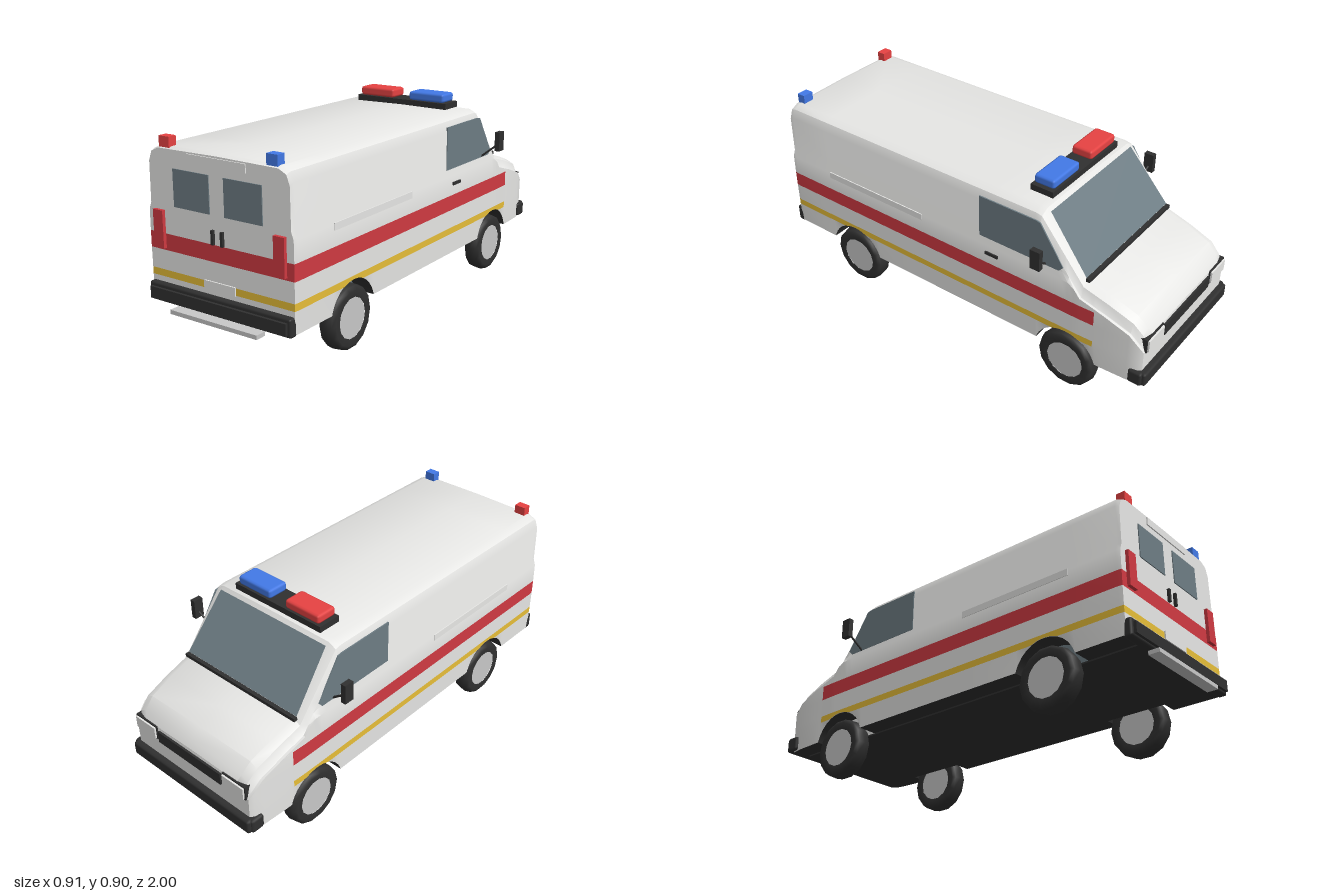
import * as THREE from 'three';
import { toCreasedNormals } from 'three/addons/utils/BufferGeometryUtils.js';
import { RoundedBoxGeometry } from 'three/addons/geometries/RoundedBoxGeometry.js';

const mat = (name, color, side = THREE.FrontSide) => {
  const m = new THREE.MeshStandardMaterial({ color, side });
  m.name = name;
  return m;
};
const M = {
  white: mat('white paint', 0xeeeeec),
  red: mat('red stripe', 0xd03a42),
  yellow: mat('yellow stripe', 0xecc23a),
  glass: mat('tinted glass', 0x6e7d84, THREE.DoubleSide),
  black: mat('black trim', 0x303030),
  beaconRed: mat('red beacon', 0xe84343),
  beaconBlue: mat('blue beacon', 0x437ae8),
  silver: mat('silver', 0xc8c8c8),
};

const REAR_AXLE = 0.57, FRONT_AXLE = -0.62, ARCH_R = 0.15, ARCH_Y = 0.16;

// Half cross-section, bottom to top: [x, y, least distance below the roof line]
const SECTION = [
  [0.366, 0.2, 0.06], [0.369, 0.295, 0.06], [0.369, 0.325, 0.06], [0.37, 0.41, 0.06], [0.37, 0.48, 0.06],
  [0.369, 0.57, 0.06], [0.358, 0.6, 0.06], [0.356, 0.78, 0.058], [0.341, 0.82, 0.018], [0.305, 0.838, 0],
];
// Roof, windscreen and bonnet line: [z, top, width factor]
const LINE = [
  [-0.972, 0.425, 0.92], [-0.955, 0.455, 0.955], [-0.91, 0.5, 0.975], [-0.8, 0.54, 0.99], [-0.68, 0.575, 1],
  [-0.47, 0.832, 1], [-0.44, 0.838, 1], [0.925, 0.836, 1], [0.945, 0.828, 0.995],
];

function lineAt(z) {
  const i = Math.max(1, LINE.findIndex((p) => p[0] >= z));
  const a = LINE[i - 1], b = LINE[i], t = (z - a[0]) / (b[0] - a[0]);
  return [a[1] + (b[1] - a[1]) * t, a[2] + (b[2] - a[2]) * t];
}

function sillAt(z) {
  let y = 0.2;
  for (const c of [REAR_AXLE, FRONT_AXLE]) {
    const d = ARCH_R ** 2 - (z - c) ** 2;
    if (d > 0) y = Math.max(y, ARCH_Y + Math.sqrt(d));
  }
  return y;
}

function ring(z) {
  const [top, w] = lineAt(z), sill = sillAt(z);
  const right = SECTION.map(([x, y, drop]) => [x * w, Math.max(sill, Math.min(y, top - drop)), z]);
  const left = right.map(([x, y]) => [-x, y, z]).reverse();
  return [...right, [0, top + 0.004, z], ...left];
}

// Lofted shell; each band of the section goes to the mesh of its colour
function buildBody(group) {
  const zs = LINE.map((p) => p[0]).concat(-0.75, -0.2, 0.2);
  for (const c of [REAR_AXLE, FRONT_AXLE])
    for (let i = 0; i <= 14; i++) zs.push(c - 0.1446 * Math.cos((i * Math.PI) / 14));
  zs.sort((a, b) => a - b);
  const rings = zs.map(ring), n = SECTION.length, count = rings[0].length;
  const parts = { white: [], red: [], yellow: [], black: [] };
  const quad = (key, a, b, c, d) => parts[key].push(...a, ...b, ...c, ...a, ...c, ...d);
  const bandKey = (i, z) => (z < -0.751 ? 'white' : i === 1 ? 'yellow' : i === 3 ? 'red' : 'white');

  for (let j = 0; j < rings.length - 1; j++) {
    const p = rings[j], q = rings[j + 1];
    for (let k = 0; k < count - 1; k++)
      quad(bandKey(k < n ? k : count - 2 - k, zs[j]), p[k], p[k + 1], q[k + 1], q[k]);
    quad('black', p[count - 1], p[0], q[0], q[count - 1]);
  }
  const nose = rings[0], tail = rings[rings.length - 1];
  for (let i = 0; i < n; i++) {
    const l = count - 1 - i;
    quad(bandKey(i, 1), tail[i], tail[i + 1], tail[l - 1], tail[l]);
    quad('white', nose[i], nose[l], nose[l - 1], nose[i + 1]);
  }
  const names = { white: 'bodyShell', red: 'redStripe', yellow: 'yellowStripe', black: 'underside' };
  for (const key in parts) {
    const g = new THREE.BufferGeometry();
    g.setAttribute('position', new THREE.Float32BufferAttribute(parts[key], 3));
    const mesh = new THREE.Mesh(toCreasedNormals(g, 0.5), M[key]);
    mesh.name = names[key];
    group.add(mesh);
  }
}

export function createModel() {
  const model = new THREE.Group();
  model.name = 'ambulanceVan';
  const add = (name, geo, material, x = 0, y = 0, z = 0) => {
    const m = new THREE.Mesh(geo, material);
    m.name = name;
    m.position.set(x, y, z);
    model.add(m);
    return m;
  };
  // Box given by its lower and upper limits on each axis
  const box = (name, material, x0, x1, y0, y1, z0, z1, bevel = 0) => {
    const s = [x1 - x0, y1 - y0, z1 - z0];
    const g = bevel ? new RoundedBoxGeometry(...s, 1, bevel) : new THREE.BoxGeometry(...s);
    return add(name, g, material, (x0 + x1) / 2, (y0 + y1) / 2, (z0 + z1) / 2);
  };
  // Same box on both sides
  const pair = (name, material, x0, x1, ...rest) => {
    box(name + 'Left', material, x0, x1, ...rest);
    box(name + 'Right', material, -x1, -x0, ...rest);
  };

  buildBody(model);

  // Inner wheel wells and floor
  box('rearWheelWell', M.glass, -0.27, 0.27, 0.2, 0.33, 0.42, 0.72);
  box('frontWheelWell', M.white, -0.27, 0.27, 0.2, 0.33, -0.77, -0.47);
  box('floorPan', M.black, -0.275, 0.275, 0.193, 0.2, -0.93, 0.94);

  // Wheels
  const tyre = new THREE.LatheGeometry(
    [[0.088, -0.036], [0.118, -0.04], [0.134, -0.03], [0.14, 0], [0.134, 0.03], [0.118, 0.04], [0.088, 0.036]]
      .map(([r, y]) => new THREE.Vector2(r, y)), 14).rotateZ(Math.PI / 2);
  const hub = new THREE.CylinderGeometry(0.09, 0.09, 0.066, 24).rotateZ(Math.PI / 2);
  for (const z of [REAR_AXLE, FRONT_AXLE]) {
    for (const s of [1, -1]) {
      add('tyre', tyre, M.black, s * 0.325, 0.142, z);
      add('hub', hub, M.silver, s * 0.325, 0.142, z);
    }
  }

  // Windscreen with the wiper cowl at its foot
  const screen = new THREE.BufferGeometry();
  screen.setAttribute('position', new THREE.Float32BufferAttribute(
    [-0.305, 0.823, -0.488, 0.305, 0.823, -0.488, 0.322, 0.592, -0.679, -0.322, 0.592, -0.679], 3));
  screen.setIndex([0, 1, 2, 0, 2, 3]);
  screen.computeVertexNormals();
  add('windscreen', screen, M.glass);
  box('wiperCowl', M.black, -0.325, 0.325, 0.575, 0.59, -0.696, -0.678);

  // Cab side windows
  const pane = new THREE.Shape(
    [[0.17, 0.6], [0.57, 0.6], [0.59, 0.622], [0.475, 0.793], [0.455, 0.797], [0.17, 0.797]]
      .map(([u, v]) => new THREE.Vector2(u, v)));
  const paneGeo = new THREE.ExtrudeGeometry(pane, { depth: 0.006, bevelEnabled: false }).rotateY(Math.PI / 2);
  add('cabWindowLeft', paneGeo, M.glass, 0.354);
  add('cabWindowRight', paneGeo, M.glass, -0.36);

  // Side rails, door handle
  pair('sideRail', M.white, 0.365, 0.372, 0.545, 0.575, 0.14, 0.7);
  box('cabDoorHandle', M.black, 0.366, 0.376, 0.526, 0.54, -0.275, -0.21);

  // Mirrors on slanted arms
  for (const s of [1, -1]) {
    box('mirror', M.black, s * 0.443 - 0.012, s * 0.443 + 0.012, 0.64, 0.73, -0.54, -0.494);
    const arm = new THREE.LineCurve3(new THREE.Vector3(s * 0.355, 0.602, -0.505), new THREE.Vector3(s * 0.438, 0.67, -0.518));
    add('mirrorArm', new THREE.TubeGeometry(arm, 1, 0.005, 6), M.black);
  }

  // Rear doors
  pair('rearWindow', M.glass, 0.038, 0.225, 0.6, 0.755, 0.942, 0.949);
  pair('rearDoorHandle', M.black, 0.018, 0.03, 0.482, 0.541, 0.942, 0.957);
  pair('tailLight', M.red, 0.282, 0.334, 0.42, 0.578, 0.94, 0.96);
  box('rearHeader', M.white, -0.15, 0.15, 0.788, 0.824, 0.942, 0.95);
  box('numberPlate', M.white, -0.08, 0.08, 0.292, 0.329, 0.942, 0.951);

  // Bumpers and rear step
  box('rearBumper', M.black, -0.366, 0.366, 0.193, 0.272, 0.93, 0.97, 0.01);
  box('rearBumperFace', M.black, -0.35, 0.35, 0.205, 0.255, 0.965, 0.982);
  box('rearStep', M.silver, -0.225, 0.225, 0.168, 0.186, 0.95, 1);
  box('frontBumper', M.black, -0.358, 0.358, 0.205, 0.272, -1, -0.95, 0.012);
  pair('frontBumperEnd', M.black, 0.332, 0.368, 0.205, 0.272, -0.985, -0.92, 0.012);

  // Grille and headlights
  box('grille', M.black, -0.19, 0.19, 0.357, 0.412, -0.982, -0.96);
  pair('headlightFrame', M.black, 0.2, 0.332, 0.362, 0.428, -0.978, -0.94);
  pair('headlightLens', M.white, 0.206, 0.326, 0.368, 0.422, -0.986, -0.97);

  // Roof light bar and rear corner beacons
  box('lightBarBase', M.black, -0.245, 0.245, 0.838, 0.866, -0.455, -0.345);
  box('lightBarRed', M.beaconRed, -0.232, -0.044, 0.866, 0.908, -0.45, -0.35, 0.012);
  box('lightBarBlue', M.beaconBlue, 0.042, 0.23, 0.866, 0.908, -0.45, -0.35, 0.012);
  box('cornerBeaconRed', M.beaconRed, -0.3, -0.246, 0.832, 0.876, 0.9, 0.94);
  box('cornerBeaconBlue', M.beaconBlue, 0.244, 0.297, 0.832, 0.876, 0.9, 0.94);

  return model;
}
